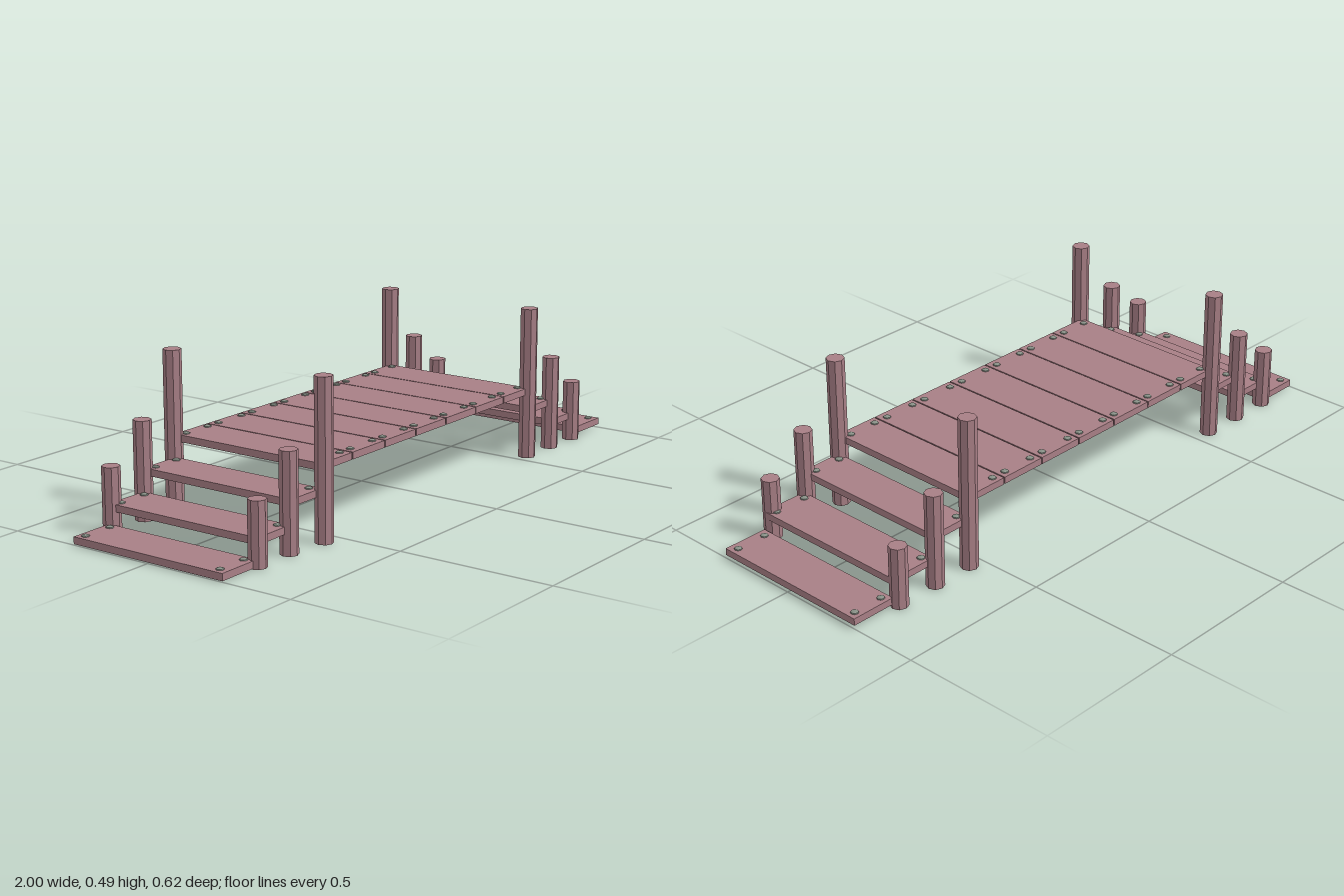
import * as THREE from 'three';

const wood = new THREE.MeshStandardMaterial({ color: 0xa87f86, flatShading: true });
const iron = new THREE.MeshStandardMaterial({ color: 0x879086, flatShading: true });

const THICK = 0.022; // plank thickness
const BACK = -0.278, FRONT = 0.268; // plank ends in z
const GAP = 0.004;

function addMesh(parent, name, geometry, material, x, y, z) {
  const mesh = new THREE.Mesh(geometry, material);
  mesh.name = name;
  mesh.position.set(x, y, z);
  parent.add(mesh);
  return mesh;
}

// Low domed nail head, flat side down
const nailGeometry = new THREE.LatheGeometry(
  [[0.0125, 0], [0.0115, 0.003], [0.007, 0.005], [0, 0.006]].map(([r, y]) => new THREE.Vector2(r, y)), 8);

// One plank spanning x0..x1 with its top at y, nailed at the four corners
function plank(name, x0, x1, top) {
  const group = new THREE.Group();
  group.name = name;
  const board = new THREE.BoxGeometry(x1 - x0 - GAP, THICK, FRONT - BACK);
  addMesh(group, 'board', board, wood, (x0 + x1) / 2, top - THICK / 2, (FRONT + BACK) / 2);
  for (const x of [x0 + 0.026, x1 - 0.026]) {
    for (const z of [BACK + 0.024, FRONT - 0.028]) {
      addMesh(group, 'nail', nailGeometry, iron, x, top, z);
    }
  }
  return group;
}

export function createModel() {
  const model = new THREE.Group();
  model.name = 'footbridge';

  // Deck: seven planks side by side
  const joints = [-0.56, -0.41, -0.25, -0.09, 0.07, 0.235, 0.395, 0.545];
  for (let i = 0; i < joints.length - 1; i++) {
    model.add(plank('deckPlank', joints[i], joints[i + 1], 0.23));
  }

  // Steps: start x, end x, top height
  const steps = [
    [-1.002, -0.85, 0.025], [-0.85, -0.7, 0.086], [-0.7, -0.555, 0.158],
    [0.545, 0.69, 0.165], [0.69, 0.85, 0.092], [0.85, 1.002, 0.033],
  ];
  for (const [x0, x1, top] of steps) model.add(plank('step', x0, x1, top));

  // Octagonal posts: x, z, height
  const posts = [
    [-0.843, 0.264, 0.197], [-0.703, 0.264, 0.305], [-0.562, 0.28, 0.49],
    [0.548, 0.263, 0.49], [0.687, 0.263, 0.305], [0.822, 0.263, 0.197],
    [-0.838, -0.278, 0.197], [-0.7, -0.278, 0.305], [-0.562, -0.278, 0.49],
    [0.548, -0.281, 0.49], [0.687, -0.281, 0.305], [0.83, -0.281, 0.197],
  ];
  for (const [x, z, height] of posts) {
    const geometry = new THREE.CylinderGeometry(0.028, 0.028, height, 8);
    addMesh(model, 'post', geometry, wood, x, height / 2, z);
  }

  return model;
}
